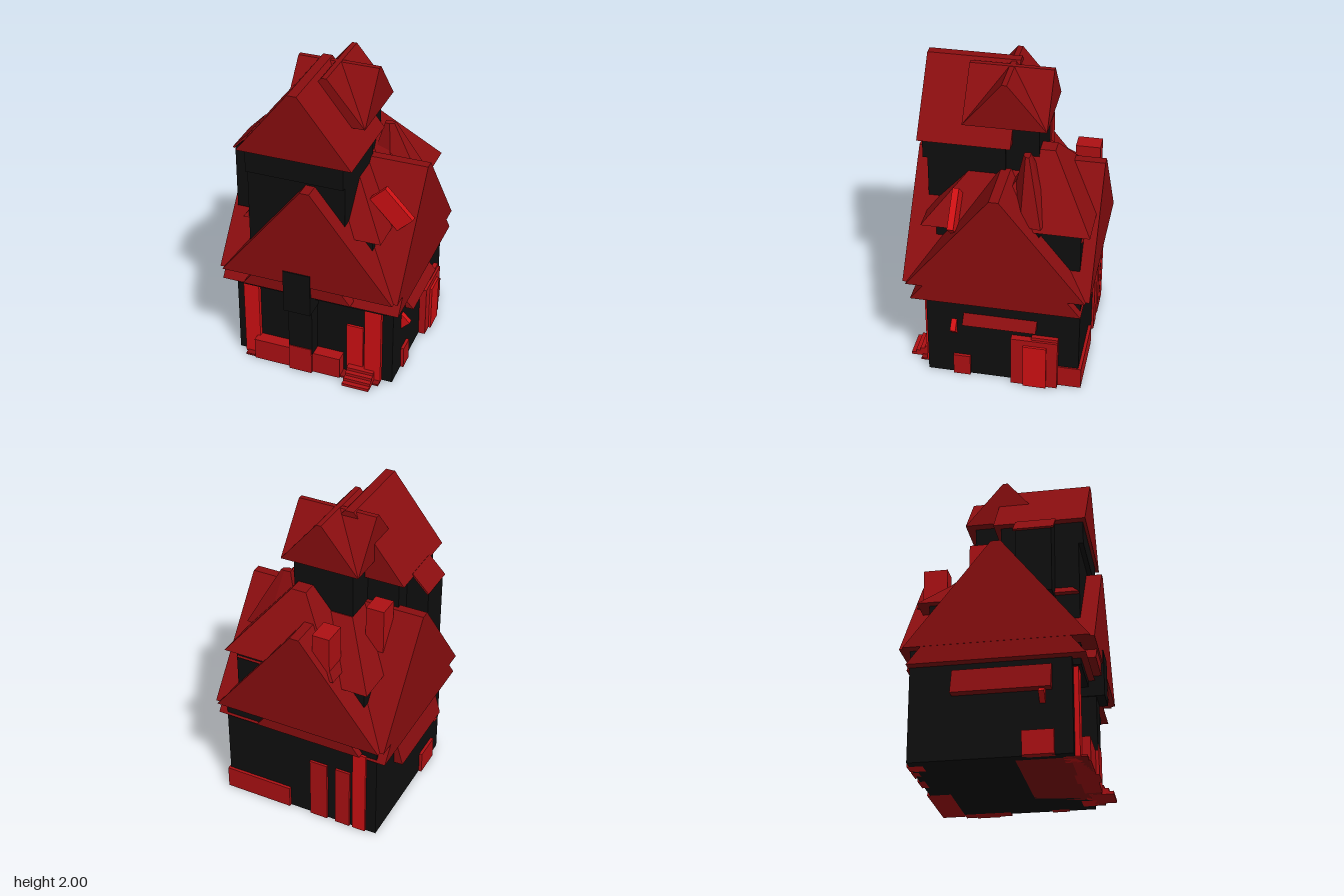
import * as THREE from 'three';

const mat = (name, color) => {
  const m = new THREE.MeshStandardMaterial({ color });
  m.name = name;
  return m;
};

export function createModel() {
  const g = new THREE.Group();
  g.name = 'house';
  const roof = mat('dark red roof', 0x8a0d0f);
  const trim = mat('red trim', 0xae1013);
  const bright = mat('bright red', 0xd01013);
  const wall = mat('black wall', 0x0f0f0f);

  const add = (name, geo, m) => {
    const mesh = new THREE.Mesh(geo, m);
    mesh.name = name;
    g.add(mesh);
    return mesh;
  };

  // Box given by its extents
  const box = (name, m, x0, x1, y0, y1, z0, z1) => {
    const mesh = add(name, new THREE.BoxGeometry(x1 - x0, y1 - y0, z1 - z0), m);
    mesh.position.set((x0 + x1) / 2, (y0 + y1) / 2, (z0 + z1) / 2);
    return mesh;
  };

  // Faceted solid between a base outline and a top outline ([x, z] points)
  const loft = (name, m, base, y0, top, y1) => {
    const n = base.length, pos = [];
    const b = base.map(p => [p[0], y0, p[1]]), t = top.map(p => [p[0], y1, p[1]]);
    const tri = (...pts) => pts.forEach(p => pos.push(...p));
    for (let i = 0; i < n; i++) {
      const j = (i + 1) % n;
      tri(b[i], b[j], t[j]);
      tri(b[i], t[j], t[i]);
      if (i > 0 && i < n - 1) {
        tri(t[0], t[i], t[j]);
        tri(b[0], b[j], b[i]);
      }
    }
    const geo = new THREE.BufferGeometry();
    geo.setAttribute('position', new THREE.Float32BufferAttribute(pos, 3));
    geo.computeVertexNormals();
    return add(name, geo, m);
  };
  const rect = (x0, x1, z0, z1) => [[x1, z1], [x1, z0], [x0, z0], [x0, z1]];
  const hip = (name, m, b, y0, t, y1) => loft(name, m, rect(...b), y0, rect(...t), y1);

  // Two crossing gables with narrow flat ridges
  const crossGable = (name, w, len, r, y0, y1) => {
    hip(name + 'Lengthwise', roof, [-w, w, -len, len], y0, [-r, r, -len, len], y1);
    hip(name + 'Crosswise', roof, [-len, len, -w, w], y0, [-len, len, -r, r], y1 - 0.002);
  };

  // Ground floor
  box('body', wall, -0.53, 0.53, 0, 0.72, -0.53, 0.45);
  box('frontBeam', wall, -0.5, 0.5, 0.56, 0.7, 0.44, 0.5);
  box('floorSlab', roof, -0.46, 0.46, -0.0, 0.012, 0.1, 0.52);

  // Main roof with its lower eave layer
  crossGable('mainRoof', 0.565, 0.59, 0.03, 0.71, 1.39);
  hip('lowerRoof', roof, [-0.588, 0.588, -0.54, 0.54], 0.6, [-0.588, 0.588, -0.03, 0.03], 1.25);
  hip('lowerFrontEave', roof, [-0.43, 0.29, -0.575, 0.58], 0.63, [-0.36, 0.22, -0.575, 0.58], 0.72);

  // Attic hipped roofs on dark walls
  box('atticWall', wall, -0.4, 0.37, 0.75, 1.07, -0.45, 0.41);
  hip('atticRoof', roof, [-0.45, 0.45, -0.52, 0.49], 1.07, [-0.2, 0.2, -0.21, 0.21], 1.38);
  box('rearAtticWall', wall, -0.2, 0.45, 0.75, 1.14, -0.51, 0.03);
  hip('rearAtticRoof', roof, [-0.25, 0.5, -0.57, 0.08], 1.14, [0.07, 0.17, -0.3, -0.19], 1.53);
  const turret = [[0.33, -0.04], [0.49, -0.14], [0.51, -0.27], [0.36, -0.3], [0.12, -0.28], [0.15, -0.06]];
  const shrink = k => turret.map(([x, z]) => [0.275 + (x - 0.275) * k, -0.14 + (z + 0.14) * k]);
  loft('turretRoof', roof, turret, 1.17, shrink(0.17), 1.55);
  loft('turretWall', wall, shrink(0.9), 0.95, shrink(0.9), 1.17);

  // Tilted dormer panel on the front left slope
  box('tiltedDormer', bright, 0.315, 0.575, 1.1325, 1.2675, 0.25, 0.29).position.set(0.445, 1.2, 0.27);
  g.children[g.children.length - 1].rotation.z = -0.81;

  // Tower with steep gable and side bay
  box('towerWall', wall, -0.41, 0.22, 0.75, 1.57, 0, 0.49);
  box('towerBeam', wall, -0.41, 0.22, 1.42, 1.57, 0, 0.52);
  box('sideBay', wall, -0.555, -0.4, 1.04, 1.47, 0.12, 0.34);
  hip('bayGableFill', wall, [-0.555, -0.35, 0.12, 0.34], 1.46, [-0.45, -0.35, 0.12, 0.34], 1.568);
  const bayRoof = box('bayRoof', roof, -0.58, -0.42, 1.5, 1.512, 0.1, 0.355);
  bayRoof.position.x = -0.505;
  bayRoof.position.y = 1.525;
  bayRoof.rotation.z = 0.8;
  hip('towerRoof', roof, [-0.46, 0.28, -0.04, 0.54], 1.57, [-0.12, -0.06, -0.04, 0.54], 2);

  // Central turret with a small cross gable
  box('centralWall', wall, -0.2, 0.2, 1.05, 1.7, -0.205, 0.205);
  crossGable('centralRoof', 0.26, 0.26, 0.016, 1.7, 1.995);

  // Chimneys
  box('rearChimney', trim, -0.21, -0.095, 0.9, 1.42, -0.54, -0.385);
  box('sideChimney', trim, -0.405, -0.285, 0.9, 1.47, -0.2, -0.06);
  box('frontChimney', wall, -0.14, 0.02, 0.15, 0.55, 0.4, 0.545);
  box('frontChimneyTop', wall, -0.15, 0.03, 0.5, 0.8, 0.42, 0.597);
  box('chimneyFoot', trim, -0.14, 0.015, 0, 0.19, 0.4, 0.55);

  // Front posts, planters, door and steps
  for (const [x0, x1] of [[-0.475, -0.37], [0.35, 0.46]]) {
    box('frontPost', bright, x0, x1, 0, 0.62, 0.38, 0.48);
  }
  box('frontPlanter', trim, -0.39, 0.2, 0, 0.15, 0.42, 0.53);
  box('frontDoor', bright, 0.225, 0.335, 0, 0.39, 0.42, 0.465);
  for (let i = 0; i < 4; i++) {
    box('step', trim, 0.24, 0.42, 0, 0.02 * (i + 1), 0.45, 0.595 - 0.03 * i);
  }

  // Left side door, awning, lamp and planter
  box('doorFrame', trim, 0.5, 0.575, 0, 0.36, -0.4, -0.1);
  box('doorLintel', trim, 0.5, 0.56, 0.3, 0.38, -0.4, -0.23);
  box('sideDoor', bright, 0.5, 0.59, 0, 0.32, -0.33, -0.18);
  box('sidePlanter', trim, 0.5, 0.55, 0, 0.15, 0.17, 0.28);
  hip('sideAwning', roof, [0.5, 0.585, -0.26, 0.21], 0.43, [0.5, 0.53, -0.26, 0.21], 0.49);

  // Right side awning and planter
  hip('largeAwning', roof, [-0.59, -0.5, -0.27, 0.33], 0.4, [-0.545, -0.5, -0.27, 0.33], 0.56);
  box('rightPlanter', trim, -0.55, -0.5, 0, 0.15, 0.15, 0.34);

  // Diamond-section lamps on both sides
  for (const s of [-1, 1]) {
    const lamp = box('lamp', bright, 0, 0.08, 0, 0.08, 0.255, 0.29);
    lamp.position.x = s * 0.53;
    lamp.position.y = 0.375;
    lamp.rotation.z = Math.PI / 4;
  }

  // Back bench, shutters and post
  box('backBench', trim, 0.08, 0.54, 0, 0.15, -0.55, -0.4);
  box('backShutter', trim, -0.19, -0.07, 0, 0.44, -0.545, -0.5);
  box('backShutter', trim, -0.35, -0.25, 0, 0.44, -0.545, -0.5);
  box('backPost', bright, -0.46, -0.37, 0, 0.62, -0.545, -0.45);

  return g;
}
